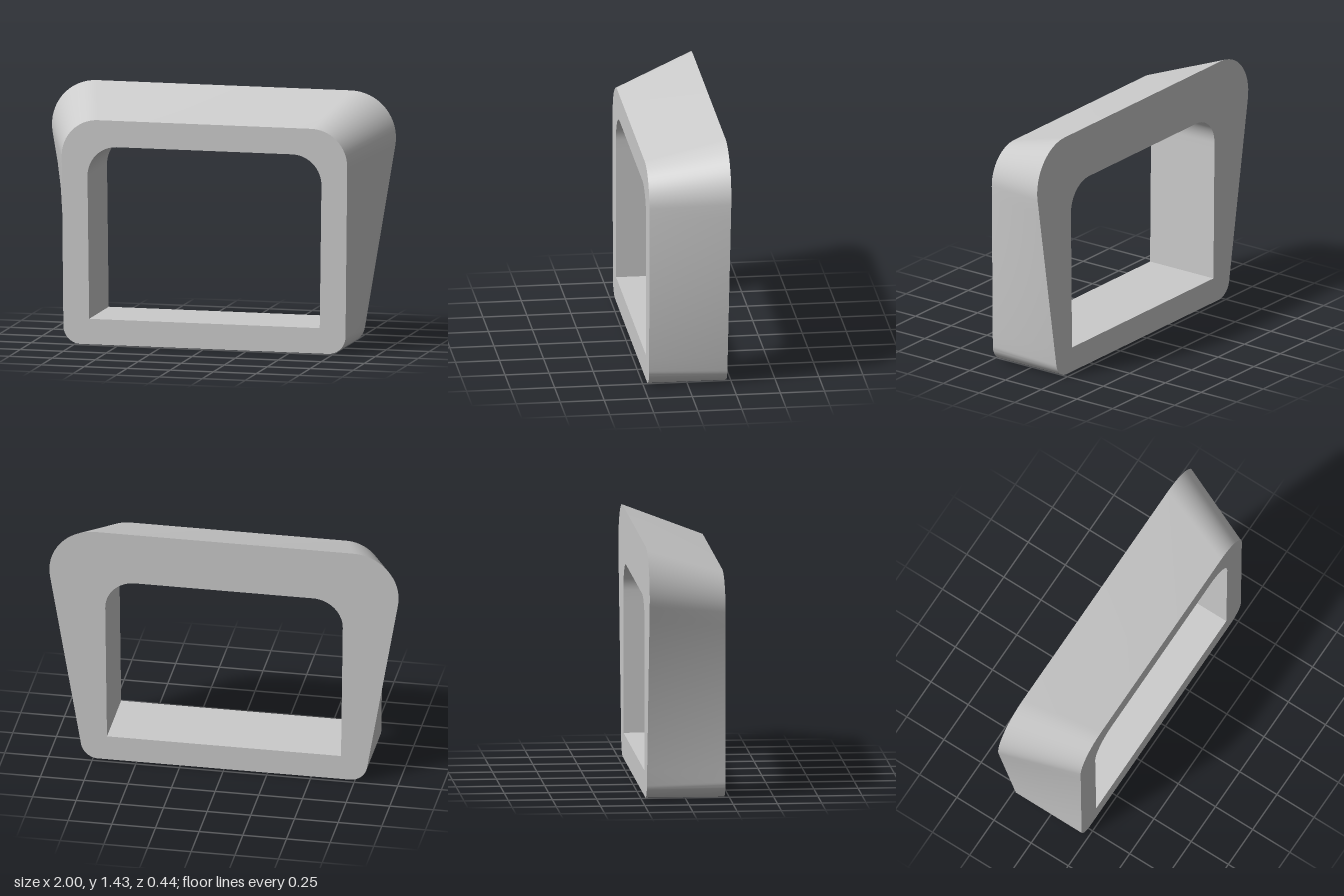
import * as THREE from 'three';
import { toCreasedNormals } from 'three/addons/utils/BufferGeometryUtils.js';

const HALF_DEPTH = 0.222;
const ARC_STEPS = 16;
const SIDE_STEPS = 12;

// Counter-clockwise, mirror-symmetric outline: a bottom and a top corner circle
// (x, y, radius) joined by their common tangent. A bottom radius of 0 is a sharp corner.
function outline([x1, y1, r1], [x2, y2, r2]) {
  const dx = x2 - x1, dy = y2 - y1;
  const a = Math.atan2(dy, dx) - Math.acos((r1 - r2) / Math.hypot(dx, dy));
  const on = (x, y, r, t) => new THREE.Vector2(x + r * Math.cos(t), y + r * Math.sin(t));
  const right = [];
  const arc = (x, y, r, from, to) => {
    for (let i = 0; i <= ARC_STEPS; i++) right.push(on(x, y, r, from + ((to - from) * i) / ARC_STEPS));
  };
  if (r1 > 0) arc(x1, y1, r1, -Math.PI / 2, a);
  else right.push(new THREE.Vector2(x1, y1));
  const low = on(x1, y1, r1, a), high = on(x2, y2, r2, a);
  for (let i = 1; i < SIDE_STEPS; i++) right.push(low.clone().lerp(high, i / SIDE_STEPS));
  arc(x2, y2, r2, a, Math.PI / 2);
  const left = right.map((p) => new THREE.Vector2(-p.x, p.y)).reverse();
  return [...right, ...left];
}

// Ruled wall between a front and a back outline with equal point counts
function wall(front, back, inward) {
  const pos = [];
  const n = front.length;
  for (let i = 0; i < n; i++) {
    const j = (i + 1) % n;
    const f = (k) => [front[k].x, front[k].y, HALF_DEPTH];
    const b = (k) => [back[k].x, back[k].y, -HALF_DEPTH];
    if (inward) pos.push(...f(i), ...f(j), ...b(i), ...f(j), ...b(j), ...b(i));
    else pos.push(...f(i), ...b(i), ...f(j), ...f(j), ...b(i), ...b(j));
  }
  const geo = new THREE.BufferGeometry();
  geo.setAttribute('position', new THREE.Float32BufferAttribute(pos, 3));
  return toCreasedNormals(geo, 0.6);
}

// Flat ring between an outline and the opening
function ring(outer, inner) {
  const shape = new THREE.Shape(outer);
  shape.holes.push(new THREE.Path(inner));
  return new THREE.ShapeGeometry(shape).translate(0, 0, HALF_DEPTH);
}

export function createModel() {
  const group = new THREE.Group();
  group.name = 'flaredFrame';
  const material = new THREE.MeshStandardMaterial({ color: 0xcccccc });
  const add = (name, geometry) => {
    const mesh = new THREE.Mesh(geometry, material);
    mesh.name = name;
    group.add(mesh);
  };

  const front = outline([0.72, 0.1, 0.1], [0.62, 1.07, 0.21]);
  const back = outline([0.72, 0.1, 0.1], [0.74, 1.175, 0.26]);
  const opening = outline([0.67, 0.145, 0], [0.51, 0.96, 0.17]);

  add('frontFace', ring(front, opening));
  // The outline is symmetric, so a half turn makes the rear face
  add('backFace', ring(back, opening).rotateY(Math.PI));
  add('outerWall', wall(front, back, false));
  add('openingWall', wall(opening, opening, true));
  return group;
}
